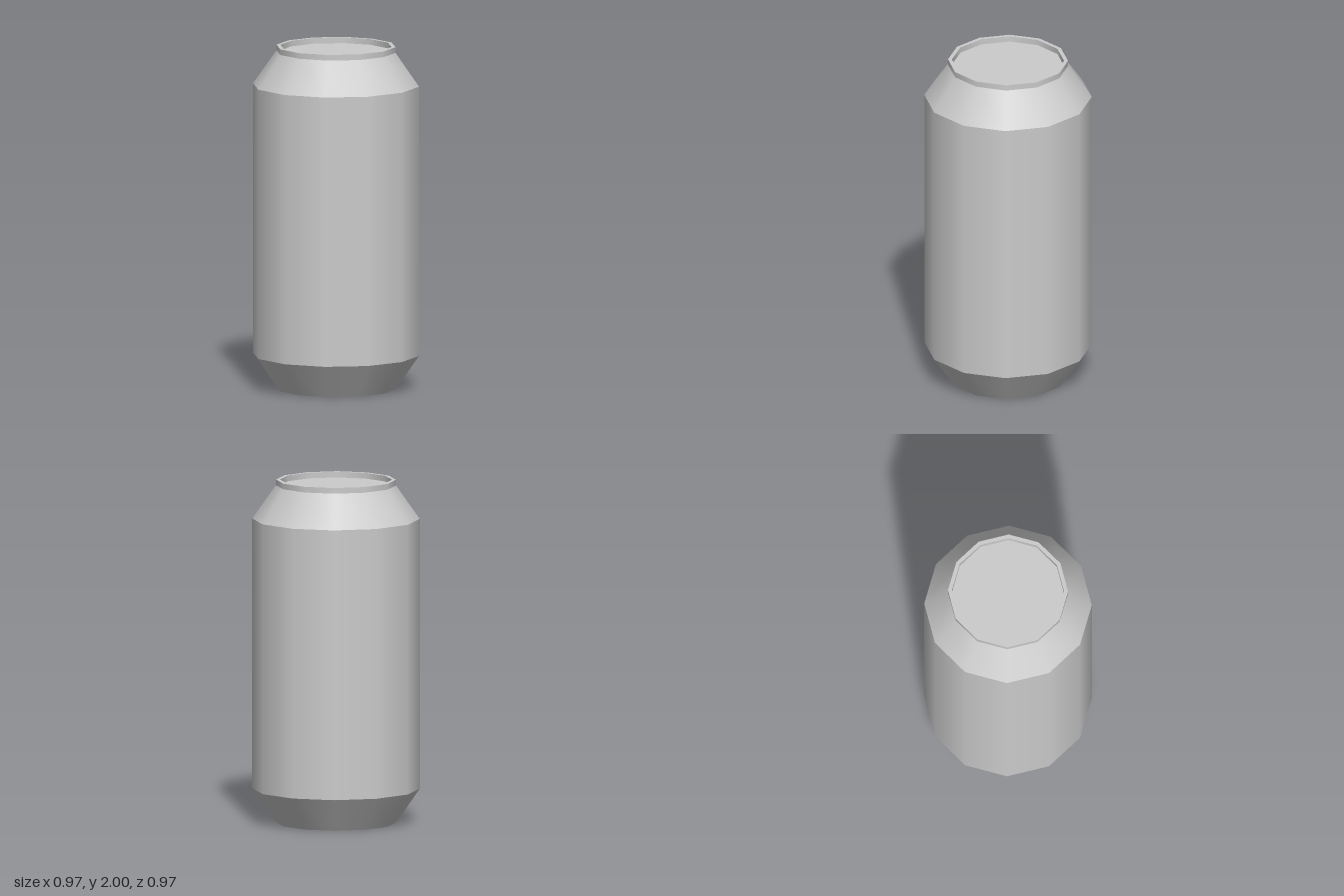
import * as THREE from 'three';

const SIDES = 12;
const R_BODY = 0.484, R_NECK = 0.347, R_INNER = 0.324;
const Y_SHOULDER = 1.772, Y_NECK = 1.967, Y_TOP = 2, Y_BASE = 0.198;

export function createModel() {
  const group = new THREE.Group();
  const material = new THREE.MeshStandardMaterial({ color: 0xcccccc });

  // One ring surface between two [radius, height] points: smooth around, sharp at its edges
  const band = (name, from, to) => {
    const points = [from, to].map(([r, y]) => new THREE.Vector2(r, y));
    const mesh = new THREE.Mesh(new THREE.LatheGeometry(points, SIDES), material);
    mesh.name = name;
    group.add(mesh);
  };

  // Flat end disc
  const disc = (name, radius, y, turn) => {
    const geometry = new THREE.CircleGeometry(radius, SIDES).rotateX(turn);
    const mesh = new THREE.Mesh(geometry, material);
    mesh.name = name;
    mesh.position.y = y;
    group.add(mesh);
  };

  // Can wall, from the bottom up
  disc('base', R_NECK, 0, Math.PI / 2);
  band('lowerTaper', [R_NECK, 0], [R_BODY, Y_BASE]);
  band('body', [R_BODY, Y_BASE], [R_BODY, Y_SHOULDER]);
  band('shoulder', [R_BODY, Y_SHOULDER], [R_NECK, Y_NECK]);

  // Raised rim around the recessed lid
  band('rimOuter', [R_NECK, Y_NECK], [R_NECK, Y_TOP]);
  band('rimTop', [R_NECK, Y_TOP], [R_INNER, Y_TOP]);
  band('rimInner', [R_INNER, Y_TOP], [R_INNER, Y_NECK]);
  disc('lid', R_INNER, Y_NECK, -Math.PI / 2);

  return group;
}
